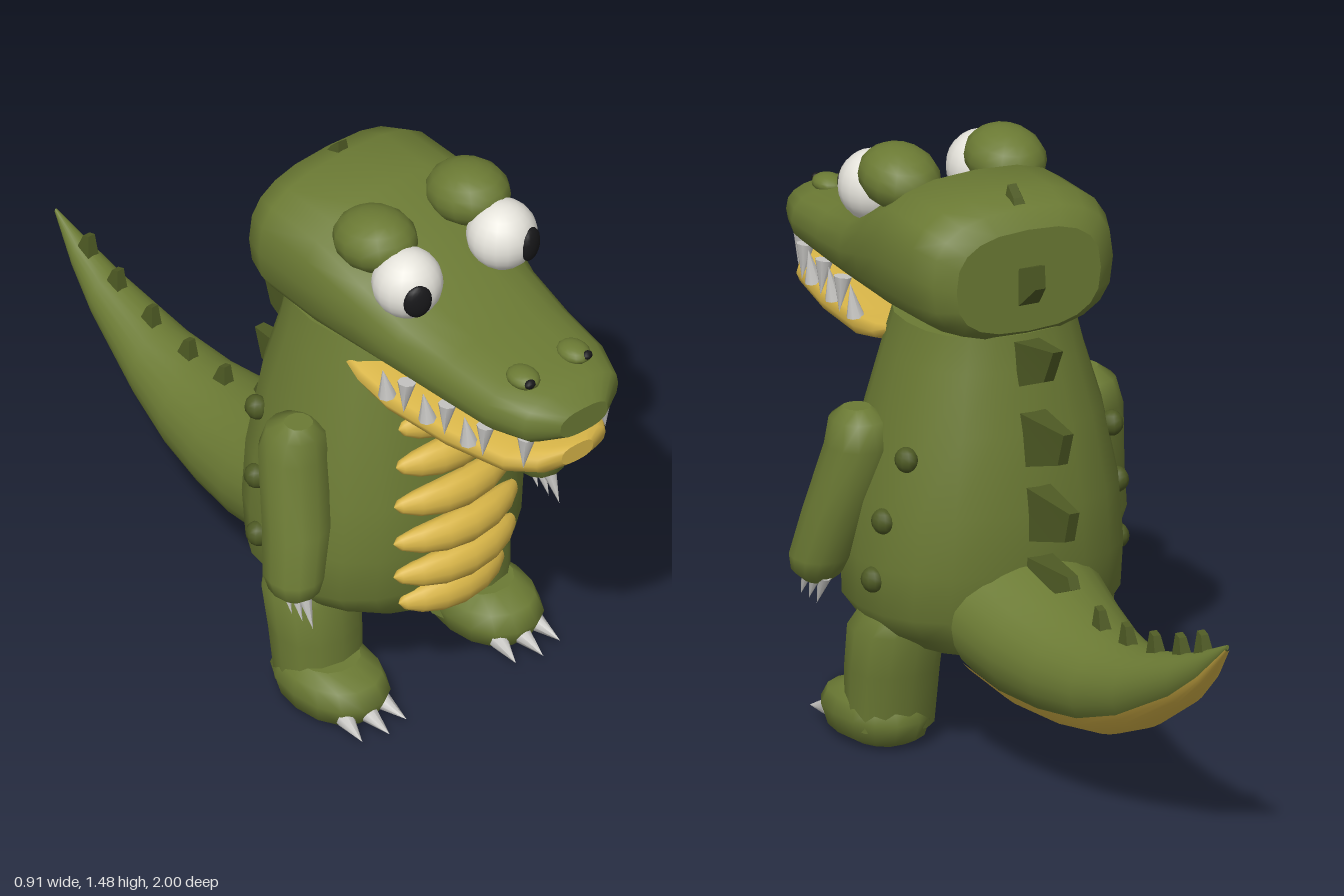
import * as THREE from 'three';

const paint = (name, color) => Object.assign(new THREE.MeshStandardMaterial({ color }), { name });

// Skin through rings [t, halfWidth, low, high, centreX] along y or z.
function loft(rings, axis, { sides = 16, power = 0.85, from = 0, to = Math.PI * 2, caps = true } = {}) {
  const pos = [], index = [];
  const n = sides + 1, closed = caps;
  const put = (x, t, b) => pos.push(...(axis === 'y' ? [x, t, b] : [x, b, t]));
  const tri = (a, b, c) => (axis === 'y' ? index.push(a, c, b) : index.push(a, b, c));
  const bend = (v) => Math.sign(v) * Math.abs(v) ** power;
  const ring = ([t, w, lo, hi, cx = 0]) => {
    for (let j = 0; j < (closed ? sides : n); j++) {
      const a = from + ((to - from) * j) / sides;
      put(cx + w * bend(Math.cos(a)), t, (lo + hi) / 2 + ((hi - lo) / 2) * bend(Math.sin(a)));
    }
  };
  const row = closed ? sides : n;
  rings.forEach(ring);
  for (let i = 0; i < rings.length - 1; i++) {
    for (let j = 0; j < sides; j++) {
      const k = closed ? (j + 1) % sides : j + 1;
      const a = i * row + j, b = i * row + k;
      tri(a, b, a + row);
      tri(b, b + row, a + row);
    }
  }
  if (caps) {
    [rings[0], rings[rings.length - 1]].forEach((r, end) => {
      const s = pos.length / 3;
      ring(r);
      put(r[4] || 0, r[0], (r[2] + r[3]) / 2);
      for (let j = 0; j < sides; j++) {
        const k = (j + 1) % sides;
        end ? tri(s + sides, s + j, s + k) : tri(s + sides, s + k, s + j);
      }
    });
  }
  const g = new THREE.BufferGeometry();
  g.setAttribute('position', new THREE.Float32BufferAttribute(pos, 3));
  g.setIndex(index);
  g.computeVertexNormals();
  return g;
}

function blob([x, y, z], [rx, ry, rz], tiltX = 0, turnY = 0, w = 14, h = 10) {
  return new THREE.SphereGeometry(1, w, h).scale(rx, ry, rz).rotateX(tiltX).rotateY(turnY).translate(x, y, z);
}

function spikeCone(base, tip, r) {
  const a = new THREE.Vector3(...base), d = new THREE.Vector3(...tip).sub(a);
  const len = d.length();
  const q = new THREE.Quaternion().setFromUnitVectors(new THREE.Vector3(0, 1, 0), d.normalize());
  return new THREE.ConeGeometry(r, len, 8).translate(0, len / 2, 0).applyQuaternion(q).translate(a.x, a.y, a.z);
}

// Tapered wedge on the centre line; corners are [z, y]: base, tip, tip, base.
function wedge([baseA, tipA, tipB, baseB], wBase, wTip) {
  const g = new THREE.BoxGeometry(1, 1, 1), p = g.attributes.position;
  for (let i = 0; i < p.count; i++) {
    const tip = p.getY(i) > 0, upper = p.getZ(i) > 0;
    const [z, y] = tip ? (upper ? tipA : tipB) : (upper ? baseA : baseB);
    p.setXYZ(i, p.getX(i) * 2 * (tip ? wTip : wBase), y, z);
  }
  g.computeVertexNormals();
  return g;
}

function mirrored(geo) {
  const g = geo.clone().scale(-1, 1, 1), ix = g.index;
  for (let i = 0; i < ix.count; i += 3) {
    const b = ix.getX(i + 1);
    ix.setX(i + 1, ix.getX(i + 2));
    ix.setX(i + 2, b);
  }
  return g;
}

export function createModel() {
  const group = new THREE.Group();
  const green = paint('skin green', 0x6b7a34);
  const dark = paint('spike green', 0x4e5a24);
  const gold = paint('belly yellow', 0xd8b548);
  const white = paint('eye white', 0xe6e4dc);
  const black = paint('pupil black', 0x18181a);
  const ivory = paint('claw grey', 0xc8c7c4);
  const add = (name, geo, mat) => {
    const m = new THREE.Mesh(geo, mat);
    m.name = name;
    group.add(m);
  };
  const pair = (name, geo, mat) => {
    add(name + 'Left', geo, mat);
    add(name + 'Right', mirrored(geo), mat);
  };

  // Body
  add('body', loft([
    [0.275, 0.225, 0, 0.47], [0.32, 0.3, -0.02, 0.5], [0.38, 0.345, -0.04, 0.52], [0.5, 0.345, -0.06, 0.535],
    [0.65, 0.33, -0.06, 0.53], [0.85, 0.285, -0.035, 0.49], [1.0, 0.24, 0, 0.46], [1.09, 0.215, 0.01, 0.44],
  ], 'y', { sides: 20 }), green);

  // Belly scales, bent round the body
  [[0.945, 0.12, 0.465], [0.858, 0.14, 0.49], [0.765, 0.165, 0.52], [0.663, 0.185, 0.545],
    [0.56, 0.195, 0.56], [0.455, 0.192, 0.555], [0.355, 0.165, 0.53]].forEach(([y, w, z]) => {
    const g = blob([0, 0, 0], [0.05, w, 0.042], 0, 0, 12, 8).rotateZ(Math.PI / 2);
    const p = g.attributes.position;
    for (let i = 0; i < p.count; i++) p.setZ(i, p.getZ(i) - 1.3 * p.getX(i) ** 2);
    g.computeVertexNormals();
    add('bellyScale', g.translate(0, y, z), gold);
  });

  // Head and lower jaw
  add('head', loft([
    [0, 0.2, 1.1, 1.36], [0.03, 0.25, 1.08, 1.405], [0.1, 0.278, 1.073, 1.43], [0.27, 0.28, 1.07, 1.432],
    [0.42, 0.25, 1.07, 1.35], [0.55, 0.225, 1.07, 1.28], [0.7, 0.205, 1.07, 1.25], [0.85, 0.19, 1.075, 1.232],
    [0.95, 0.15, 1.083, 1.215], [1.0, 0.075, 1.105, 1.175],
  ], 'z', { sides: 20, power: 0.75 }), green);
  add('lowerJaw', loft([
    [0.31, 0.2, 1.03, 1.055], [0.4, 0.215, 0.975, 1.05], [0.5, 0.215, 0.95, 1.045], [0.7, 0.195, 0.95, 1.045],
    [0.88, 0.16, 0.963, 1.05], [0.95, 0.11, 0.98, 1.055], [0.975, 0.05, 1.0, 1.05],
  ], 'z', { power: 0.75 }), gold);

  // Teeth
  [[0.12, 0.925], [0.165, 0.825], [0.182, 0.7], [0.202, 0.57]].forEach(([x, z]) =>
    pair('upperTooth', spikeCone([x, 1.1, z], [x + 0.01, 1.01, z], 0.023), ivory));
  [[0.172, 0.77], [0.19, 0.635], [0.205, 0.5]].forEach(([x, z]) =>
    pair('lowerTooth', spikeCone([x, 1.02, z], [x + 0.015, 1.105, z], 0.023), ivory));

  // Eyes, eyelids and nostrils
  pair('eye', blob([0.15, 1.346, 0.51], [0.088, 0.09, 0.088], 0, 0, 18, 14), white);
  pair('pupil', blob([0.178, 1.343, 0.583], [0.037, 0.046, 0.019], 0, 0.35), black);
  pair('eyelid', blob([0.147, 1.405, 0.385], [0.098, 0.078, 0.116], -0.15), green);
  pair('nostril', blob([0.08, 1.23, 0.865], [0.038, 0.024, 0.048]), green);
  pair('nostrilHole', blob([0.09, 1.235, 0.903], [0.016, 0.012, 0.012], 0, 0, 8, 6), black);

  // Arms with claws
  pair('arm', loft([
    [0.87, 0.035, 0.26, 0.33, 0.315], [0.845, 0.07, 0.21, 0.36, 0.315], [0.78, 0.085, 0.19, 0.365, 0.315],
    [0.6, 0.082, 0.245, 0.415, 0.35], [0.48, 0.073, 0.28, 0.435, 0.382], [0.44, 0.06, 0.3, 0.43, 0.387],
    [0.415, 0.03, 0.33, 0.4, 0.388],
  ].reverse(), 'y', { sides: 12, power: 0.9 }), green);
  [0.325, 0.365, 0.405].forEach((z) =>
    pair('handClaw', spikeCone([0.387, 0.435, z], [0.39, 0.355, z + 0.035], 0.018), ivory));

  // Legs, feet and toe claws
  pair('leg', loft([
    [0.05, 0.11, 0.18, 0.37, 0.235], [0.2, 0.115, 0.155, 0.37, 0.235], [0.31, 0.115, 0.125, 0.36, 0.235],
    [0.365, 0.085, 0.14, 0.34, 0.225],
  ], 'y', { sides: 12, power: 0.9 }), green);
  pair('foot', loft([
    [0.005, 0.07, 0.22, 0.42, 0.243], [0.025, 0.105, 0.18, 0.475, 0.243], [0.075, 0.118, 0.16, 0.5, 0.243],
    [0.115, 0.108, 0.18, 0.47, 0.243], [0.138, 0.08, 0.22, 0.4, 0.243],
  ], 'y', { sides: 14, power: 0.9 }), green);
  [-1, 0, 1].forEach((i) => {
    const x = 0.243 + i * 0.058, z = i ? 0.455 : 0.475;
    pair('toeClaw', spikeCone([x, 0.045, z], [x + i * 0.012, 0.027, z + 0.08], 0.024), ivory);
  });

  // Tail with a yellow underside
  const tail = [
    [-1, 0.004, 0.585, 0.598], [-0.9, 0.035, 0.47, 0.555], [-0.8, 0.06, 0.385, 0.515], [-0.6, 0.102, 0.265, 0.46],
    [-0.45, 0.133, 0.205, 0.445], [-0.3, 0.162, 0.18, 0.455], [-0.15, 0.19, 0.175, 0.49], [0, 0.215, 0.2, 0.54],
  ];
  add('tail', loft(tail, 'z', { sides: 24, power: 1 }), green);
  add('tailUnderside', loft(tail.map(([z, w, lo, hi]) => [z, w + 0.004, lo - 0.004, hi + 0.004]), 'z',
    { sides: 12, power: 1, from: Math.PI * 1.175, to: Math.PI * 1.825, caps: false }), gold);

  // Spikes down the head, back and tail
  add('headSpike', wedge([[0.09, 1.41], [0.085, 1.452], [0.055, 1.425], [0.04, 1.4]], 0.018, 0.012), dark);
  [
    [[0.04, 1.25], [-0.055, 1.283], [-0.06, 1.225], [0.04, 1.13]],
    [[0.04, 1.07], [-0.148, 1.09], [-0.1, 1.0], [0.04, 0.945]],
    [[0, 0.9], [-0.2, 0.893], [-0.17, 0.807], [0, 0.755]],
    [[0, 0.72], [-0.23, 0.7], [-0.205, 0.62], [0, 0.565]],
    [[-0.03, 0.54], [-0.22, 0.535], [-0.235, 0.505], [-0.1, 0.45]],
  ].forEach((c) => add('backSpike', wedge(c, 0.038, 0.014), dark));
  [[-0.365, 0.45], [-0.5, 0.45], [-0.64, 0.47], [-0.77, 0.505], [-0.88, 0.545]].forEach(([z, y]) =>
    add('tailSpike', wedge([[z + 0.025, y - 0.03], [z + 0.015, y + 0.05], [z - 0.005, y + 0.043], [z - 0.03, y - 0.02]],
      0.018, 0.01), dark));

  // Warts on the flanks
  [[0.285, 0.785, 0.1], [0.325, 0.62, 0.145], [0.34, 0.465, 0.17]].forEach((c) =>
    pair('wart', blob(c, [0.028, 0.032, 0.032], 0, 0, 10, 8), dark));

  return group;
}
